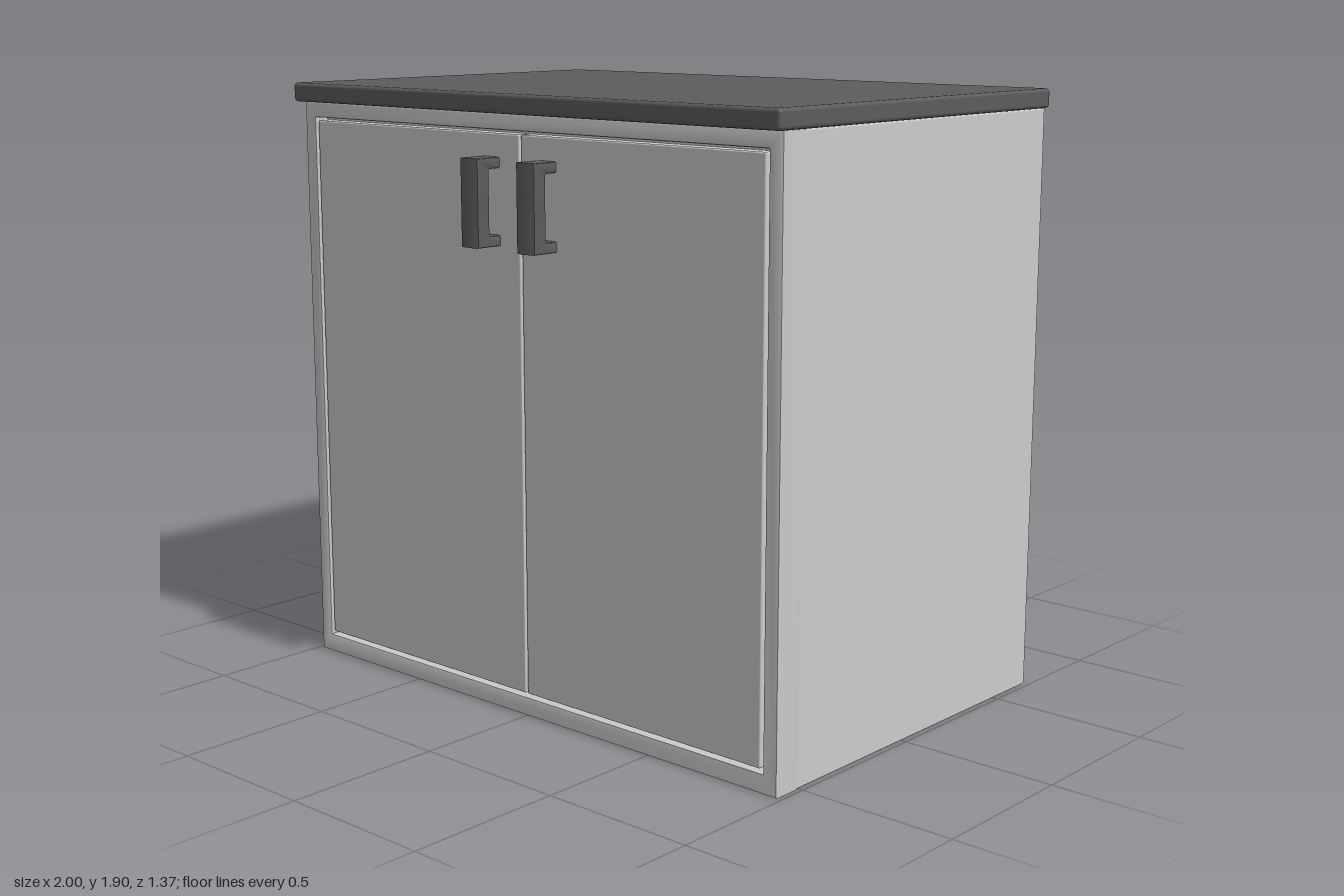
import * as THREE from 'three';
import { RoundedBoxGeometry } from 'three/addons/geometries/RoundedBoxGeometry.js';
import { toCreasedNormals } from 'three/addons/utils/BufferGeometryUtils.js';

const grey = new THREE.MeshStandardMaterial({ color: 0xcccccc });
const dark = new THREE.MeshStandardMaterial({ color: 0x5c5c5c });

// Rounded box given by its lowest and highest corners
function slab(name, min, max, radius, material) {
  const size = max.map((v, i) => v - min[i]);
  const mesh = new THREE.Mesh(new RoundedBoxGeometry(...size, 2, radius), material);
  mesh.position.set(...max.map((v, i) => (v + min[i]) / 2));
  mesh.name = name;
  return mesh;
}

function rectangle(path, x0, y0, x1, y1) {
  return path.moveTo(x0, y0).lineTo(x1, y0).lineTo(x1, y1).lineTo(x0, y1).closePath();
}

// Extrusion with softened edges that keeps the outline's size
function extrude(shape, depth, bevel) {
  const geometry = new THREE.ExtrudeGeometry(shape, {
    depth: depth - 2 * bevel, bevelThickness: bevel, bevelSize: bevel,
    bevelOffset: -bevel, bevelSegments: 2,
  });
  geometry.translate(0, 0, bevel);
  return toCreasedNormals(geometry, 0.6);
}

// Front frame around the door opening
function makeFrame() {
  const shape = rectangle(new THREE.Shape(), -0.985, 0, 0.985, 1.845);
  shape.holes.push(rectangle(new THREE.Path(), -0.935, 0.06, 0.935, 1.795));
  const frame = new THREE.Mesh(extrude(shape, 0.1, 0.007), grey);
  frame.position.z = 0.5;
  frame.name = 'frontFrame';
  return frame;
}

// Bracket handle, drawn in side profile and extruded across its width
function makeHandle(name, x) {
  const profile = new THREE.Shape();
  profile.moveTo(0.585, 1.45).lineTo(0.685, 1.45).lineTo(0.685, 1.715).lineTo(0.585, 1.715)
    .lineTo(0.585, 1.682).lineTo(0.627, 1.682).quadraticCurveTo(0.637, 1.682, 0.637, 1.672)
    .lineTo(0.637, 1.493).quadraticCurveTo(0.637, 1.483, 0.627, 1.483)
    .lineTo(0.585, 1.483).closePath();
  const geometry = extrude(profile, 0.075, 0.006);
  geometry.translate(0, 0, -0.0375).rotateY(-Math.PI / 2);
  const handle = new THREE.Mesh(geometry, dark);
  handle.position.x = x;
  handle.name = name;
  return handle;
}

export function createModel() {
  const model = new THREE.Group();
  model.name = 'cabinet';
  model.add(
    slab('carcass', [-0.985, 0, -0.68], [0.985, 1.845, 0.55], 0.006, grey),
    makeFrame(),
    slab('rightDoor', [-0.928, 0.07, 0.53], [-0.006, 1.785, 0.595], 0.005, grey),
    slab('leftDoor', [0.001, 0.07, 0.53], [0.922, 1.785, 0.595], 0.005, grey),
    makeHandle('rightHandle', -0.127),
    makeHandle('leftHandle', 0.108),
    slab('countertop', [-1, 1.845, -0.685], [1, 1.905, 0.635], 0.012, dark),
  );
  return model;
}
